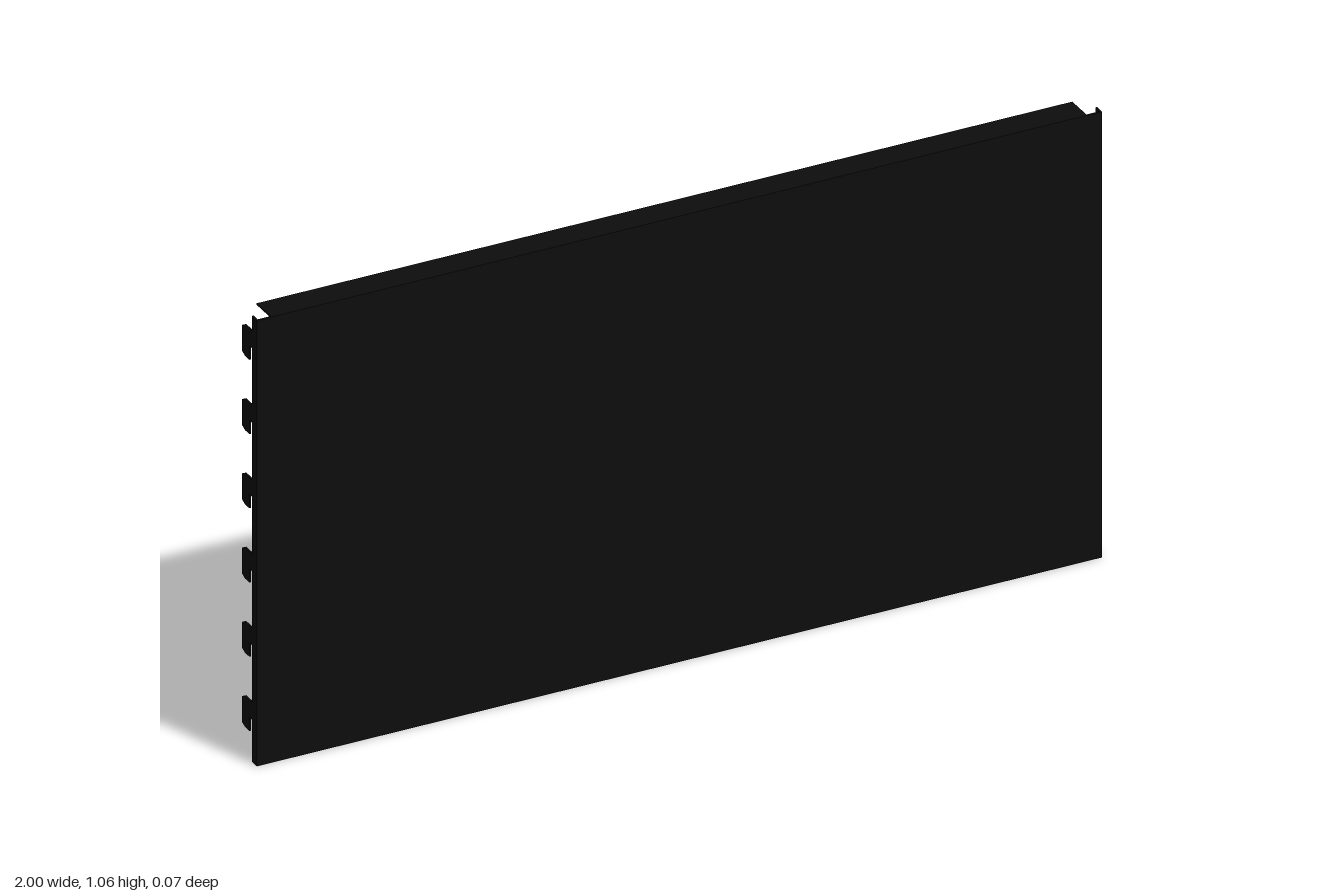
import * as THREE from 'three';

const W = 2, H = 1.063, FRONT = 0.034, BACK = -0.034, T = 0.004;
const FLANGE_BACK = 0.011, HOOKS = 6, PITCH = 0.177, FIRST_HOOK = 0.142;

export function createModel() {
  const group = new THREE.Group();
  const material = new THREE.MeshStandardMaterial({ color: 0x0d0d0d });

  function add(name, geometry, x, y, z) {
    const mesh = new THREE.Mesh(geometry, material);
    mesh.name = name;
    mesh.position.set(x, y, z);
    group.add(mesh);
  }

  // Front sheet
  add('panel', new THREE.BoxGeometry(W, H, T), 0, H / 2, FRONT - T / 2);

  // Folded top and bottom flanges, shorter than the sheet at each end
  const flange = new THREE.BoxGeometry(1.93, T, FRONT - BACK - T);
  const flangeZ = (FRONT - T + BACK) / 2;
  add('topFlange', flange, 0, H - T / 2, flangeZ);
  add('bottomFlange', flange, 0, T / 2, flangeZ);

  // Side flange outline, drawn with depth (-z) across, hooks along its back edge
  const side = new THREE.Shape();
  side.moveTo(-FRONT + T, 0);
  side.lineTo(-FLANGE_BACK, 0);
  for (let i = 0; i < HOOKS; i++) {
    const top = FIRST_HOOK + i * PITCH;
    const outline = [
      [-FLANGE_BACK, -0.041], [0, -0.041], [0, -0.074], [0.02, -0.074],
      [-BACK, -0.068], [-BACK, -0.007], [0.022, 0], [-FLANGE_BACK, 0],
    ];
    for (const [u, v] of outline) side.lineTo(u, top + v);
  }
  side.lineTo(-FLANGE_BACK, H);
  side.lineTo(-FRONT + T, H);
  side.closePath();

  const sideGeometry = new THREE.ExtrudeGeometry(side, { depth: T, bevelEnabled: false });
  sideGeometry.rotateY(Math.PI / 2);
  add('leftHookedFlange', sideGeometry, W / 2 - T, 0, 0);
  add('rightHookedFlange', sideGeometry, -W / 2, 0, 0);

  return group;
}
